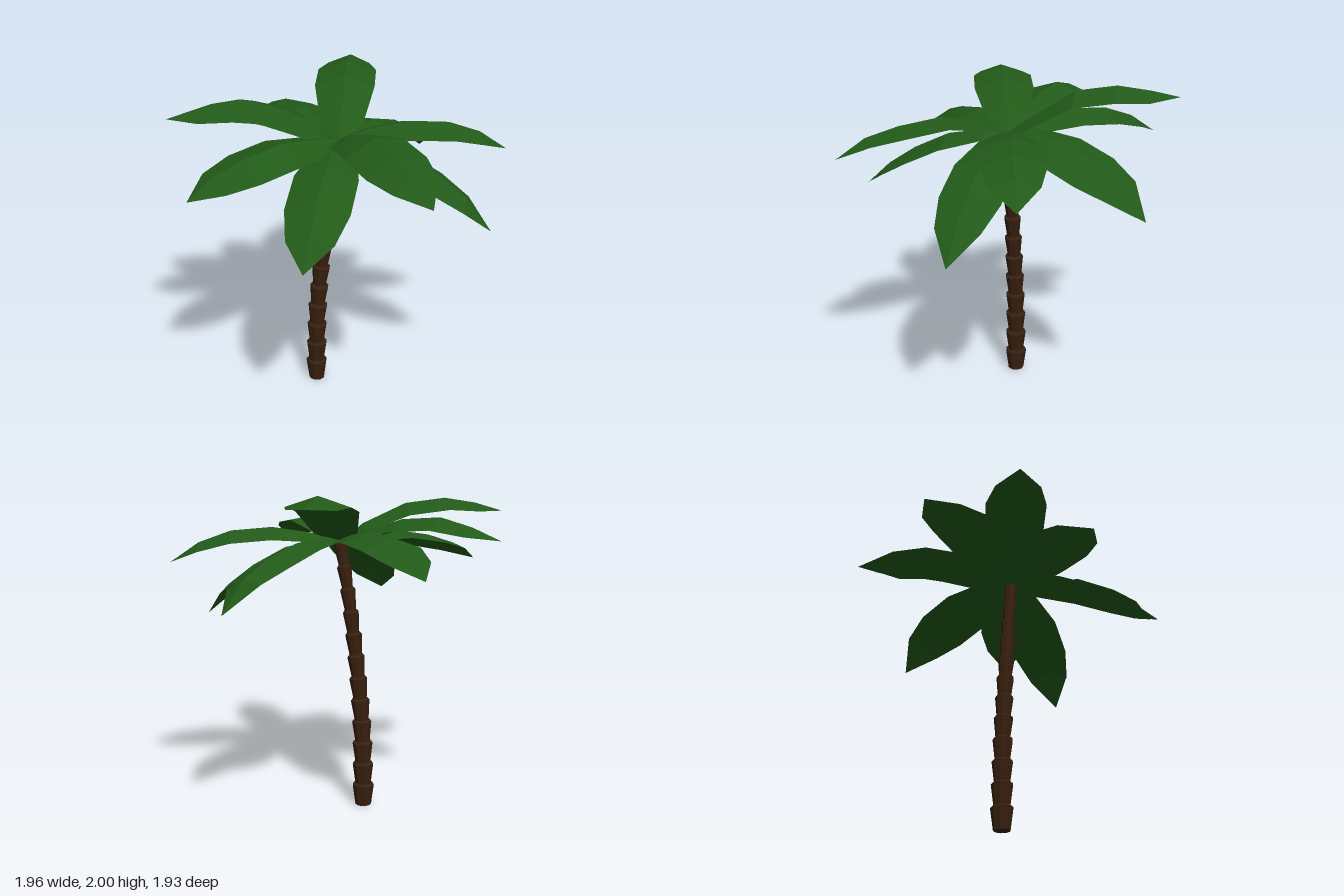
import * as THREE from 'three';

const CROWN = new THREE.Vector3(0.03, 1.69, 0.01);

// Stations along a frond: fraction of length, and half width there
const STATIONS = [0, 0.14, 0.4, 0.64, 0.83, 1];
const HALF_WIDTH = [0.01, 0.13, 0.185, 0.185, 0.135, 0];

// Fronds: tip x, tip z, ridge heights from the second station to the tip, roll
const FRONDS = [
  { x: -0.13, z: -0.97, ridge: [1.79, 1.96, 2.0, 1.98, 1.95], roll: 0 },
  { x: 0.37, z: -0.92, ridge: [1.73, 1.71, 1.64, 1.55, 1.37], roll: 0.2 },
  { x: 0.98, z: -0.4, ridge: [1.74, 1.78, 1.76, 1.69, 1.57], roll: 0 },
  { x: 0.95, z: 0.01, ridge: [1.7, 1.64, 1.52, 1.39, 1.19], roll: 0 },
  { x: 0.7, z: 0.79, ridge: [1.76, 1.82, 1.79, 1.74, 1.63], roll: 0.18 },
  { x: 0.06, z: 0.96, ridge: [1.7, 1.65, 1.54, 1.42, 1.27], roll: 0 },
  { x: -0.64, z: 0.77, ridge: [1.72, 1.74, 1.7, 1.64, 1.53], roll: -0.15 },
  { x: -0.88, z: 0.42, ridge: [1.8, 1.92, 1.95, 1.92, 1.87], roll: 0 },
  { x: -0.98, z: -0.13, ridge: [1.75, 1.84, 1.86, 1.81, 1.74], roll: 0 },
  { x: -0.7, z: -0.71, ridge: [1.74, 1.79, 1.77, 1.7, 1.58], roll: 0 },
];

// A frond is a strip of roof-shaped cross-sections: edge, ridge, edge
function frondGeometry({ x, z, ridge, roll }) {
  const dir = new THREE.Vector3(x - CROWN.x, 0, z - CROWN.z).normalize();
  const side = new THREE.Vector3(dir.z, 0, -dir.x);
  const positions = [];
  const index = [];
  const heights = [CROWN.y, ...ridge];
  STATIONS.forEach((t, i) => {
    const mid = new THREE.Vector3(
      THREE.MathUtils.lerp(CROWN.x, x, t), heights[i], THREE.MathUtils.lerp(CROWN.z, z, t));
    for (const s of [-1, 0, 1]) {
      const w = s * HALF_WIDTH[i];
      const p = mid.clone().addScaledVector(side, w);
      p.y += w * Math.sin(roll) - Math.abs(w) * 0.33;
      positions.push(p.x, p.y, p.z);
    }
    if (i === 0) return;
    for (let k = 0; k < 2; k++) {
      const a = (i - 1) * 3 + k, b = a + 3;
      index.push(a, b, a + 1, a + 1, b, b + 1);
    }
  });
  const geo = new THREE.BufferGeometry();
  geo.setAttribute('position', new THREE.Float32BufferAttribute(positions, 3));
  geo.setIndex(index);
  geo.computeVertexNormals();
  return geo;
}

export function createModel() {
  const model = new THREE.Group();
  model.name = 'palmTree';
  const bark = new THREE.MeshStandardMaterial({ color: 0x38200f, flatShading: true });
  const leaf = new THREE.MeshStandardMaterial({
    color: 0x225a19, flatShading: true, side: THREE.DoubleSide });

  // Trunk: flared rings stacked along a leaning curve
  const trunk = new THREE.Group();
  trunk.name = 'trunk';
  const path = new THREE.CatmullRomCurve3([
    [-0.125, 0], [-0.122, 0.28], [-0.113, 0.55], [-0.09, 0.82],
    [-0.058, 1.1], [-0.02, 1.38], [0.03, 1.68],
  ].map(([x, y]) => new THREE.Vector3(x, y, 0.015)));
  const RINGS = 12;
  const up = new THREE.Vector3(0, 1, 0);
  for (let i = 0; i < RINGS; i++) {
    const a = path.getPointAt(i / RINGS);
    const b = path.getPointAt((i + 1) / RINGS);
    const len = a.distanceTo(b);
    const r = THREE.MathUtils.lerp(0.069, 0.043, i / (RINGS - 1));
    // Lathe profile: narrow foot, wide lip, small bevel on top
    const profile = [[0, 0], [r * 0.74, 0], [r, len * 0.95], [r * 0.8, len * 1.04], [0, len * 1.04]]
      .map(([px, py]) => new THREE.Vector2(px, py));
    const ring = new THREE.Mesh(new THREE.LatheGeometry(profile, 9), bark);
    ring.name = 'trunkRing';
    ring.position.copy(a);
    // The lowest ring stays upright on the ground
    if (i > 0) ring.quaternion.setFromUnitVectors(up, b.sub(a).normalize());
    trunk.add(ring);
  }
  model.add(trunk);

  // Crown of fronds
  const crown = new THREE.Group();
  crown.name = 'crown';
  for (const f of FRONDS) {
    const frond = new THREE.Mesh(frondGeometry(f), leaf);
    frond.name = 'frond';
    crown.add(frond);
  }
  model.add(crown);
  return model;
}
